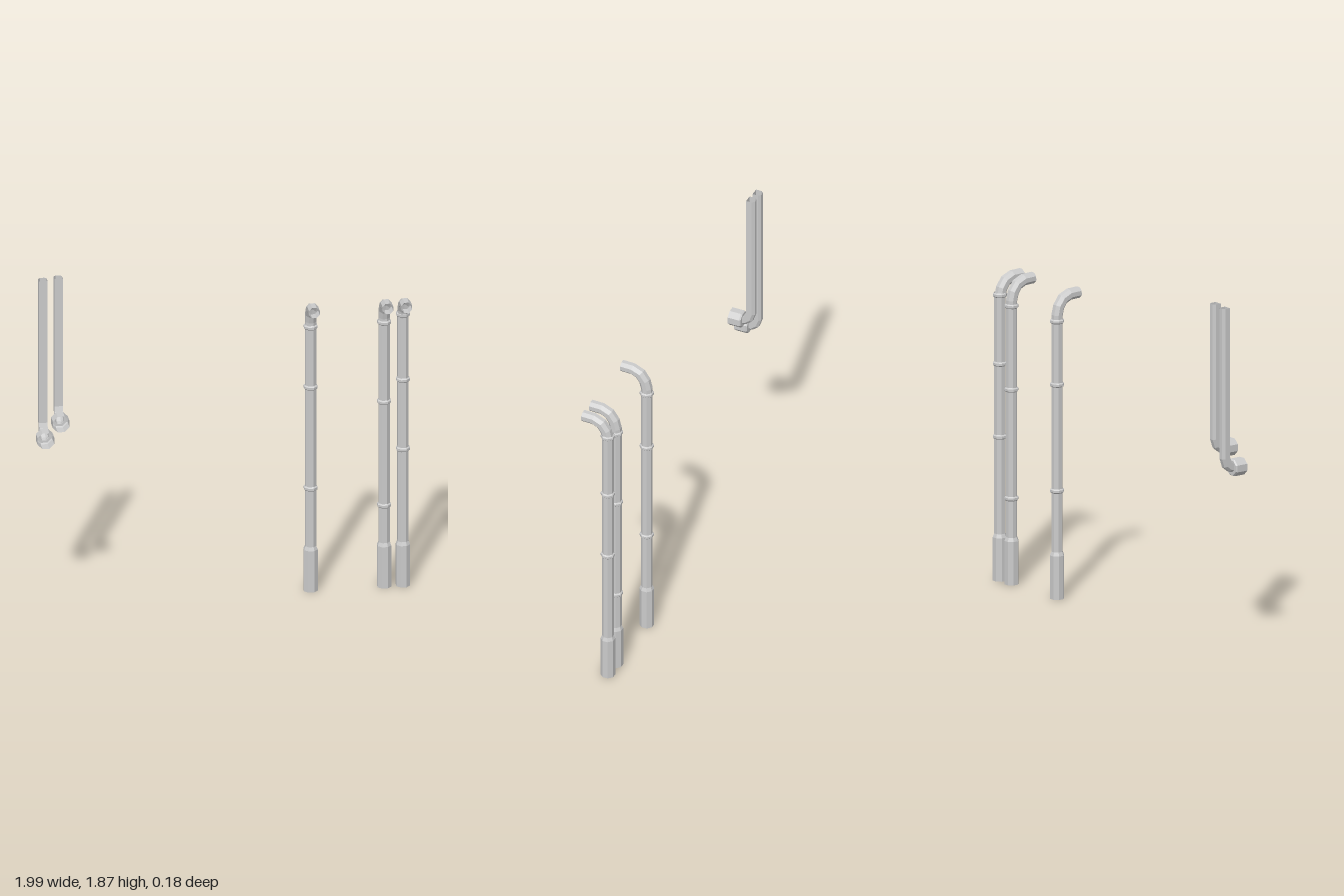
import * as THREE from 'three';

const material = new THREE.MeshStandardMaterial({
  color: 0xcccccc, flatShading: true, side: THREE.DoubleSide,
});

function addMesh(parent, geometry, name) {
  const mesh = new THREE.Mesh(geometry, material);
  mesh.name = name;
  parent.add(mesh);
  return mesh;
}

// Regular section with flats facing front, back and sides
function ringSection(radius, sides = 8) {
  return Array.from({ length: sides }, (_, i) => {
    const a = ((i + 0.5) / sides) * Math.PI * 2;
    return [radius * Math.cos(a), radius * Math.sin(a)];
  });
}

// Sweep a closed section along a path of [y, z] points, mitred at each bend
function sweep(section, path) {
  const dir = (a, b) => new THREE.Vector2(b[0] - a[0], b[1] - a[1]).normalize();
  const n = section.length;
  const positions = [];
  const index = [];
  path.forEach((p, i) => {
    const before = dir(path[Math.max(i - 1, 0)], path[Math.max(i, 1)]);
    const after = i < path.length - 1 ? dir(p, path[i + 1]) : before;
    const t = before.clone().add(after).normalize();
    const mitre = 1 / t.dot(before);
    for (const [sx, sn] of section) {
      positions.push(sx, p[0] + t.y * sn * mitre, p[1] - t.x * sn * mitre);
    }
    if (i === 0) return;
    for (let j = 0; j < n; j++) {
      const k = (j + 1) % n;
      const a = (i - 1) * n + j, b = (i - 1) * n + k, c = i * n + k, d = i * n + j;
      index.push(a, b, c, a, c, d);
    }
  });
  const geometry = new THREE.BufferGeometry();
  geometry.setAttribute('position', new THREE.Float32BufferAttribute(positions, 3));
  geometry.setIndex(index);
  geometry.computeVertexNormals();
  return geometry;
}

// Eight-sided lathe with flats facing the axes
function octLathe(profile) {
  return new THREE.LatheGeometry(
    profile.map(([r, y]) => new THREE.Vector2(r, y)), 8, Math.PI / 8);
}

// Tall standpipe with a wide foot sleeve, clamp rings and forward spout
function createStandpipe(x, ringHeights) {
  const pipe = new THREE.Group();
  pipe.name = 'standpipe';
  const z = -0.055;
  addMesh(pipe, sweep(ringSection(0.031), [
    [0.25, z], [1.535, z], [1.58, -0.044], [1.617, -0.018], [1.636, 0.025], [1.638, 0.087],
  ]), 'pipeAndSpout');

  addMesh(pipe, octLathe([[0.039, 0], [0.039, 0.235], [0.031, 0.255]]), 'footSleeve')
    .position.z = z;

  for (const y of ringHeights) {
    const ring = addMesh(pipe, octLathe([
      [0.031, -0.012], [0.038, -0.006], [0.038, 0.006], [0.031, 0.012],
    ]), 'clampRing');
    ring.position.set(0, y, z);
  }
  pipe.position.x = x;
  return pipe;
}

// Hanging pipe, flat in front and bevelled behind, ending in an open cup
function createDownpipe(x, cupY, topY) {
  const pipe = new THREE.Group();
  pipe.name = 'downpipe';
  const section = [
    [0.0225, -0.01], [0.0225, 0.0225], [-0.0225, 0.0225],
    [-0.0225, -0.01], [-0.011, -0.0225], [0.011, -0.0225],
  ];
  addMesh(pipe, sweep(section, [
    [topY, -0.047], [cupY + 0.06, -0.047], [cupY + 0.022, -0.034],
    [cupY + 0.003, -0.01], [cupY, 0.012],
  ]), 'bentPipe');

  const cup = addMesh(pipe, octLathe([
    [0.022, 0], [0.042, 0], [0.048, 0.008], [0.048, 0.072],
  ]), 'outletCup');
  cup.rotation.x = Math.PI / 2;
  cup.position.y = cupY;
  pipe.position.x = x;
  return pipe;
}

export function createModel() {
  const model = new THREE.Group();
  model.name = 'pipeSet';
  model.add(
    createStandpipe(0.47, [0.585, 1.16, 1.503]),
    createStandpipe(0.86, [0.465, 1.055, 1.507]),
    createStandpipe(0.96, [0.78, 1.175, 1.547]),
    createDownpipe(-0.952, 0.986, 1.858),
    createDownpipe(-0.871, 1.076, 1.867),
  );
  return model;
}
